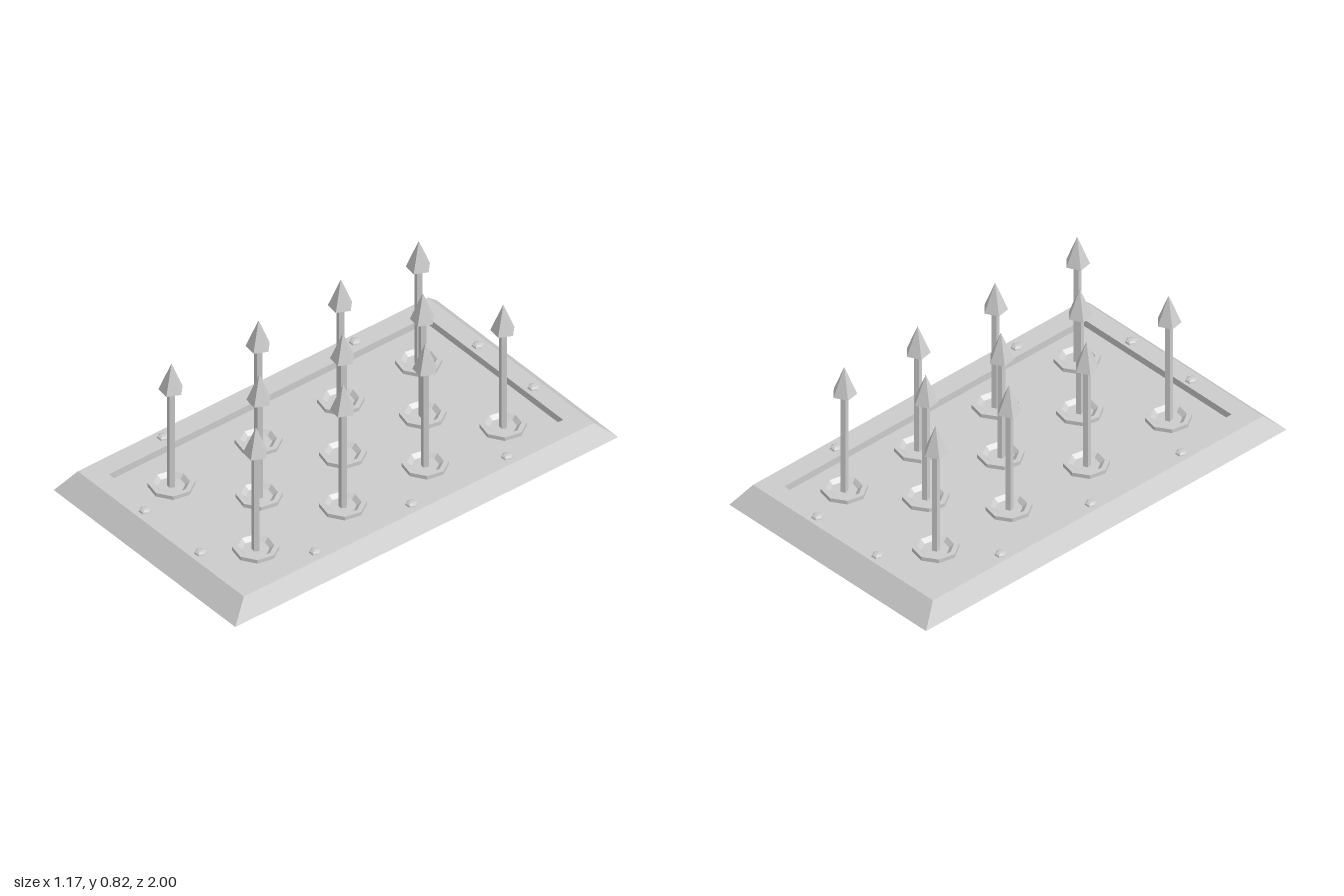
import * as THREE from 'three';

const flat = new THREE.MeshStandardMaterial({ color: 0xcccccc, flatShading: true, side: THREE.DoubleSide });
const smooth = new THREE.MeshStandardMaterial({ color: 0xcccccc, side: THREE.DoubleSide });

function add(parent, name, geometry, material, x = 0, y = 0, z = 0, turn = 0) {
  const mesh = new THREE.Mesh(geometry, material);
  mesh.name = name;
  mesh.position.set(x, y, z);
  mesh.rotation.y = turn;
  parent.add(mesh);
  return mesh;
}

// Thin shell through stacked rectangles [half x, half z, y], closed by the last one
function rectangleShell(loops) {
  const corners = loops.map(([x, z, y]) => [[-x, y, z], [x, y, z], [x, y, -z], [-x, y, -z]]);
  const pos = [];
  const quad = (a, b, c, d) => pos.push(...a, ...b, ...c, ...a, ...c, ...d);
  for (let i = 0; i < corners.length - 1; i++) {
    for (let k = 0; k < 4; k++) {
      const n = (k + 1) % 4;
      quad(corners[i][k], corners[i][n], corners[i + 1][n], corners[i + 1][k]);
    }
  }
  quad(...corners[corners.length - 1]);
  const g = new THREE.BufferGeometry();
  g.setAttribute('position', new THREE.Float32BufferAttribute(pos, 3));
  g.computeVertexNormals();
  return g;
}

const lathe = (points, sides) =>
  new THREE.LatheGeometry(points.map(([r, y]) => new THREE.Vector2(r, y)), sides);

export function createModel() {
  const model = new THREE.Group();
  model.name = 'spikeTrap';

  // Hollow bevelled plate with a sunken panel
  add(model, 'basePlate', rectangleShell([
    [0.585, 1, 0.145], [0.535, 0.915, 0.23], [0.44, 0.83, 0.23], [0.44, 0.83, 0.197],
  ]), flat);

  // Shared spike parts
  const turn = THREE.MathUtils.degToRad(28);
  const tubeGeo = new THREE.CylinderGeometry(0.078, 0.078, 0.192, 32, 1, true);
  const collarGeo = lathe([[0.097, 0.195], [0.097, 0.215], [0.075, 0.215], [0.056, 0.198]], 8);
  const shaftGeo = new THREE.CylinderGeometry(0.018, 0.018, 0.51, 5);
  const headGeo = new THREE.ConeGeometry(0.053, 0.134, 5);

  // Staggered spikes: two outer columns and one middle column
  const columns = [
    [-0.256, [-0.64, -0.233, 0.197, 0.652]],
    [0.024, [-0.434, -0.017, 0.42]],
    [0.288, [-0.64, -0.233, 0.197, 0.652]],
  ];
  for (const [x, rows] of columns) {
    for (const z of rows) {
      const spike = new THREE.Group();
      spike.name = 'spike';
      spike.position.set(x, 0, z);
      add(spike, 'housingTube', tubeGeo, smooth, 0, 0.096, 0);
      add(spike, 'collar', collarGeo, flat, 0, 0, 0, 0.18);
      add(spike, 'shaft', shaftGeo, flat, 0, 0.44, 0, turn);
      add(spike, 'spearHead', headGeo, flat, 0, 0.755, 0, turn);
      model.add(spike);
    }
  }

  // Domed six-sided rivets around the rim
  const rivetGeo = lathe([[0.027, 0], [0.024, 0.007], [0.014, 0.012], [0, 0.014]], 6);
  const rivets = [];
  for (const z of [-0.5, 0, 0.503]) rivets.push([-0.493, z], [0.487, z]);
  for (const z of [-0.872, 0.868]) rivets.push([-0.16, z], [0.198, z]);
  for (const [x, z] of rivets) add(model, 'rivet', rivetGeo, flat, x, 0.23, z, Math.PI / 6);

  return model;
}
